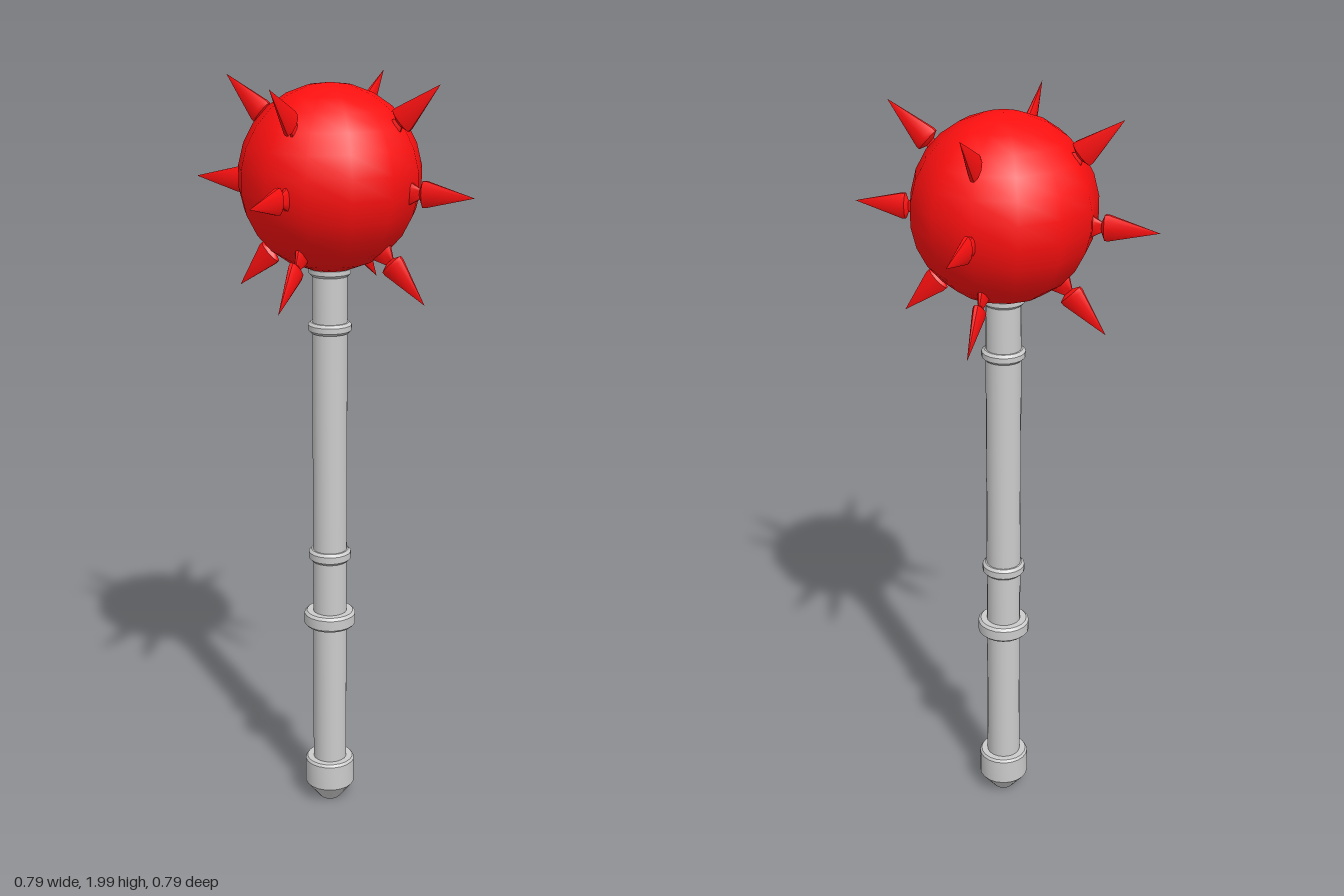
import * as THREE from 'three';
import { toCreasedNormals } from 'three/addons/utils/BufferGeometryUtils.js';

const RED = 0xff1010;
const BALL_Y = 1.75, BALL_R = 0.235, SPIKE_Y = 1.728;

const grey = new THREE.MeshStandardMaterial({ color: 0xcccccc });
const red = new THREE.MeshStandardMaterial({ color: RED });

// Turned part from [radius, height] pairs, bottom to top
function turned(points, sides) {
  const profile = points.map(([r, y]) => new THREE.Vector2(r, y));
  return toCreasedNormals(new THREE.LatheGeometry(profile, sides), 0.6);
}

function part(name, geometry, material) {
  const mesh = new THREE.Mesh(geometry, material);
  mesh.name = name;
  return mesh;
}

// Collar with chamfered edges
function collar(name, y, radius, height) {
  const h = height / 2, c = 0.007;
  const mesh = part(name, turned([
    [0.04, -h], [radius - c, -h], [radius, -h + c],
    [radius, h - c], [radius - c, h], [0.04, h],
  ], 20), grey);
  mesh.position.y = y;
  return mesh;
}

export function createModel() {
  const group = new THREE.Group();

  // Handle
  group.add(part('shaft', turned([[0, 0.1], [0.046, 0.1], [0.046, 1.56], [0, 1.56]], 20), grey));
  group.add(part('pommel', turned([
    [0, 0], [0.028, 0], [0.068, 0.05], [0.068, 0.12], [0.063, 0.127], [0, 0.127],
  ], 20), grey));
  group.add(collar('gripCollar', 0.552, 0.07, 0.042));
  group.add(collar('lowerRing', 0.737, 0.057, 0.032));
  group.add(collar('upperRing', 1.367, 0.057, 0.028));
  group.add(collar('neckRing', 1.515, 0.055, 0.026));

  // Ball head
  const ball = part('ball', new THREE.SphereGeometry(BALL_R, 13, 13).rotateY(-Math.PI / 2), red);
  ball.position.y = BALL_Y;
  group.add(ball);

  // Flattened spike: flared foot, narrow neck, blade; points along +x, thin in z
  const spikeShape = turned([
    [0, 0.19], [0.032, 0.19], [0.03, 0.222], [0.014, 0.25],
    [0.034, 0.258], [0.034, 0.268], [0, 0.395],
  ], 10).rotateZ(-Math.PI / 2).scale(1, 1, 0.42);
  spikeShape.computeVertexNormals();
  const spikeGeometry = toCreasedNormals(spikeShape, 0.7);

  // Three tiers of four spikes
  const tiers = [['upperSpike', 41.5, 1.01], ['middleSpike', 0, 1], ['lowerSpike', -46, 0.975]];
  for (const [name, tilt, length] of tiers) {
    for (let i = 0; i < 4; i++) {
      const arm = new THREE.Group();
      arm.name = name;
      arm.position.y = SPIKE_Y;
      arm.rotation.y = i * Math.PI / 2;
      const spike = part(name + 'Blade', spikeGeometry, red);
      spike.rotation.z = THREE.MathUtils.degToRad(tilt);
      spike.scale.x = length;
      arm.add(spike);
      group.add(arm);
    }
  }
  return group;
}
